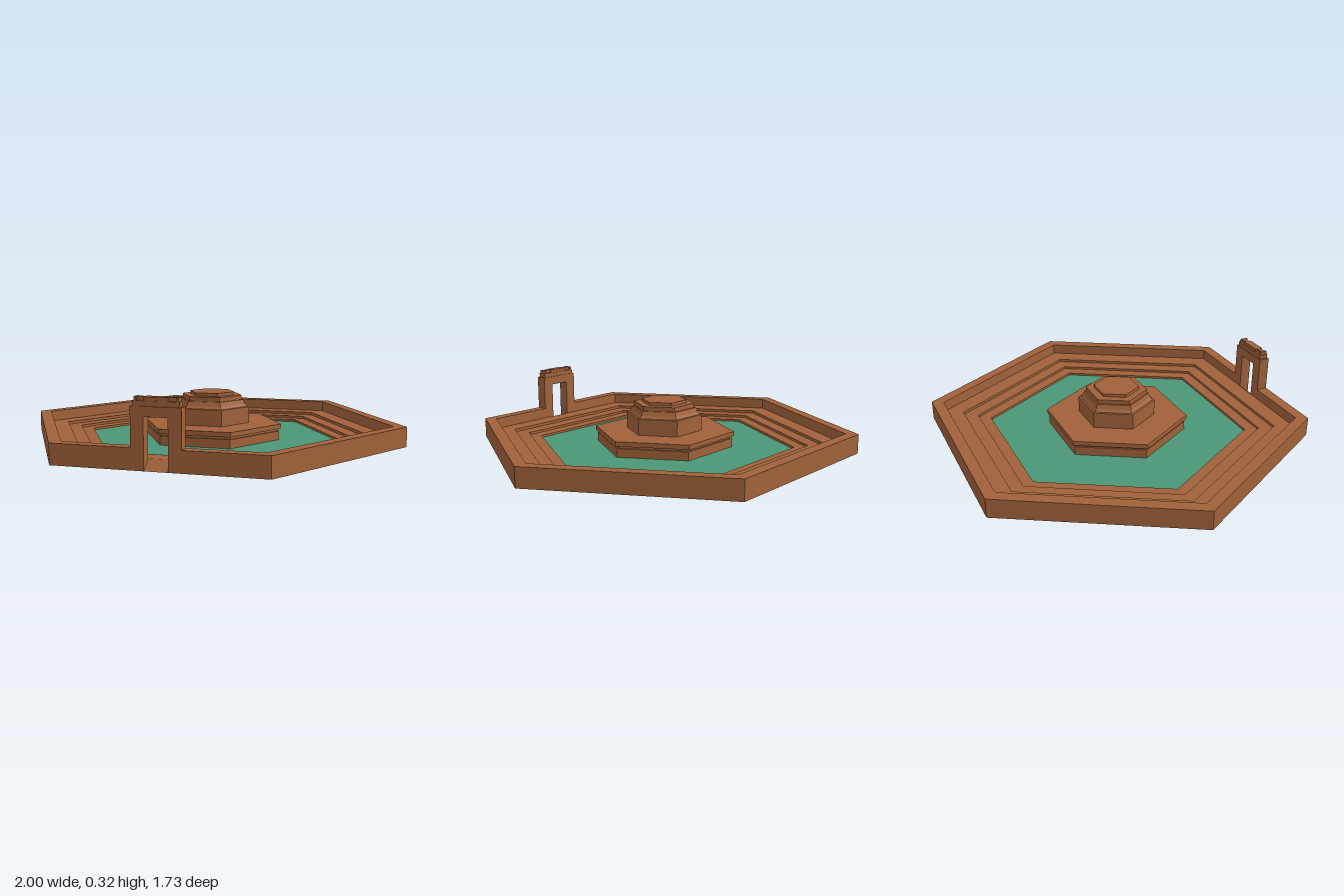
import * as THREE from 'three';

const brick = new THREE.MeshStandardMaterial({ color: 0xa0623a, flatShading: true, side: THREE.DoubleSide });
const waterGreen = new THREE.MeshStandardMaterial({ color: 0x4a9776, flatShading: true, side: THREE.DoubleSide });

const APOTHEM = Math.cos(Math.PI / 6);
const DOOR = 0.055; // half width of the gateway

function add(parent, name, geometry, material = brick) {
  const mesh = new THREE.Mesh(geometry, material);
  mesh.name = name;
  parent.add(mesh);
  return mesh;
}

// Hexagonal shell swept from [radius, height] points; corners lie on the x axis
function hexShell(profile, sides = 6) {
  const points = profile.map(([r, y]) => new THREE.Vector2(r, y));
  return new THREE.LatheGeometry(points, sides, Math.PI / 6, sides * Math.PI / 3);
}

// Half of the front side: the same profile run from the gateway to the mitred corner
function frontHalf(profile, sign) {
  const position = [], index = [];
  profile.forEach(([r, y], i) => {
    position.push(sign * DOOR, y, r * APOTHEM, sign * r / 2, y, r * APOTHEM);
    if (i === 0) return;
    const a = 2 * i - 2;
    if (sign > 0) index.push(a, a + 1, a + 3, a, a + 3, a + 2);
    else index.push(a, a + 3, a + 1, a, a + 2, a + 3);
  });
  const geometry = new THREE.BufferGeometry();
  geometry.setAttribute('position', new THREE.Float32BufferAttribute(position, 3));
  geometry.setIndex(index);
  geometry.computeVertexNormals();
  return geometry;
}

function block(parent, name, x0, x1, y0, y1, z0, z1) {
  const mesh = add(parent, name, new THREE.BoxGeometry(x1 - x0, y1 - y0, z1 - z0));
  mesh.position.set((x0 + x1) / 2, (y0 + y1) / 2, (z0 + z1) / 2);
}

export function createModel() {
  const model = new THREE.Group();
  model.name = 'hexagonalPool';

  // Outer wall, open on the front for the gateway
  const wall = new THREE.Group();
  wall.name = 'outerWall';
  model.add(wall);
  const wallProfile = [[1, 0], [1, 0.1], [0.935, 0.1], [0.935, 0.045]];
  add(wall, 'wallSides', hexShell(wallProfile, 5));
  add(wall, 'wallFrontLeft', frontHalf(wallProfile, 1));
  add(wall, 'wallFrontRight', frontHalf(wallProfile, -1));

  // Terraces stepping down to the water
  add(model, 'terraces', hexShell([
    [0.935, 0.045], [0.83, 0.045], [0.83, 0.03], [0.75, 0.03],
    [0.75, 0.017], [0.68, 0.017], [0.68, 0.005],
  ]));
  add(model, 'water', hexShell([[0.68, 0.005], [0.36, 0.005]]), waterGreen);

  // Island with a groove under its top slab
  add(model, 'island', hexShell([
    [0.36, 0.005], [0.36, 0.05], [0.35, 0.05], [0.35, 0.063],
    [0.37, 0.063], [0.37, 0.087], [0.2, 0.087],
  ]));

  // Pavilion: upright base, coved shoulder, lip and cap
  add(model, 'pavilion', hexShell([
    [0.2, 0.087], [0.2, 0.17], [0.19, 0.172], [0.178, 0.185], [0.168, 0.207],
    [0.16, 0.207], [0.16, 0.23], [0.118, 0.23], [0.118, 0.246], [0, 0.246],
  ]));

  // Gateway
  const gate = new THREE.Group();
  gate.name = 'gateway';
  model.add(gate);
  const back = 0.935 * APOTHEM, front = APOTHEM;
  block(gate, 'leftPost', DOOR, 0.115, 0, 0.28, back, front);
  block(gate, 'rightPost', -0.115, -DOOR, 0, 0.28, back, front);
  block(gate, 'lintel', -DOOR, DOOR, 0.235, 0.28, back, front);
  block(gate, 'cornice', -0.105, 0.105, 0.28, 0.303, back + 0.005, front - 0.005);
  block(gate, 'crest', -DOOR, DOOR, 0.303, 0.32, back + 0.008, front - 0.008);
  for (const s of [-1, 1]) {
    block(gate, 'crestArm', s * 0.0725 - 0.0175, s * 0.0725 + 0.0175, 0.303, 0.32, back + 0.018, front - 0.018);
    block(gate, 'crestEnd', s * 0.095 - 0.005, s * 0.095 + 0.005, 0.303, 0.32, back + 0.008, front - 0.008);
  }

  // Ramp through the gateway up to the first terrace
  const rise = 0.045, run = front - back;
  const ramp = add(gate, 'ramp', new THREE.PlaneGeometry(2 * DOOR, Math.hypot(rise, run)));
  ramp.rotation.x = -Math.atan2(run, rise);
  ramp.position.set(0, rise / 2, (back + front) / 2);

  return model;
}
